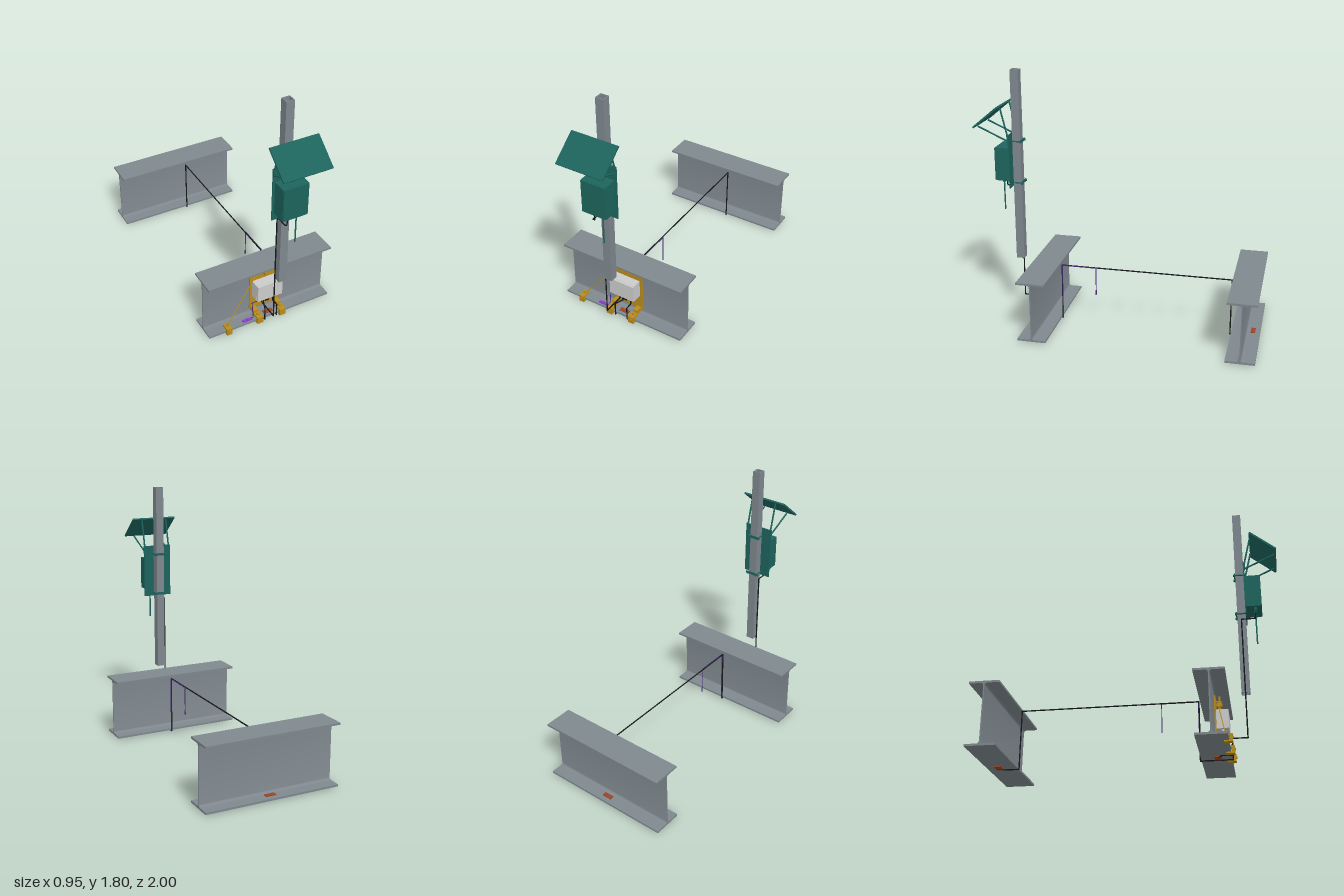
import * as THREE from 'three';
import { toCreasedNormals, mergeGeometries } from 'three/addons/utils/BufferGeometryUtils.js';

const mat = (color) => new THREE.MeshStandardMaterial({ color, side: THREE.DoubleSide });

export function createModel() {
  const root = new THREE.Group();
  const steel = mat(0x7f888e), green = mat(0x1d645d), yellow = mat(0xb88c1c), grey = mat(0xcccccc);
  const black = mat(0x15181a), purple = mat(0x4a2a80), violet = mat(0x8a3fd0), rust = mat(0x9a4526);

  const add = (name, geo, m, parent = root) => {
    const mesh = new THREE.Mesh(geo, m);
    mesh.name = name;
    parent.add(mesh);
    return mesh;
  };
  const group = (name) => {
    const g = new THREE.Group();
    g.name = name;
    root.add(g);
    return g;
  };
  // box from its limits
  const box = (name, x0, x1, y0, y1, z0, z1, m, parent) => {
    const mesh = add(name, new THREE.BoxGeometry(x1 - x0, y1 - y0, z1 - z0), m, parent);
    mesh.position.set((x0 + x1) / 2, (y0 + y1) / 2, (z0 + z1) / 2);
    return mesh;
  };
  // straight runs of round rod joined by ball elbows
  const rod = (name, pts, r, m, parent) => {
    const v = pts.map((p) => new THREE.Vector3(...p));
    const parts = [];
    v.forEach((b, i) => {
      if (i === 0) return;
      const a = v[i - 1], d = b.clone().sub(a);
      const q = new THREE.Quaternion().setFromUnitVectors(new THREE.Vector3(0, 1, 0), d.clone().normalize());
      const mid = a.clone().add(b).multiplyScalar(0.5);
      parts.push(new THREE.CylinderGeometry(r, r, d.length(), 10).applyQuaternion(q).translate(mid.x, mid.y, mid.z));
      if (i < v.length - 1) parts.push(new THREE.SphereGeometry(r, 10, 6).translate(b.x, b.y, b.z));
    });
    return add(name, mergeGeometries(parts), m, parent);
  };

  // rolled I-beams with filleted web
  const beam = (name, z) => {
    const H = 0.1, T = 0.443, B = 0.013, t = 0.014, w = 0.004, f = 0.02;
    const s = new THREE.Shape();
    s.moveTo(-H, B).lineTo(H, B).lineTo(H, B + t).lineTo(w + f, B + t);
    s.quadraticCurveTo(w, B + t, w, B + t + f).lineTo(w, T - t - f);
    s.quadraticCurveTo(w, T - t, w + f, T - t).lineTo(H, T - t).lineTo(H, T);
    s.lineTo(-H, T).lineTo(-H, T - t).lineTo(-w - f, T - t);
    s.quadraticCurveTo(-w, T - t, -w, T - t - f).lineTo(-w, B + t + f);
    s.quadraticCurveTo(-w, B + t, -w - f, B + t).lineTo(-H, B + t).closePath();
    const g = new THREE.ExtrudeGeometry(s, { depth: 0.947, bevelEnabled: false, curveSegments: 6 });
    g.translate(0, 0, -0.4735).rotateY(Math.PI / 2);
    add(name, toCreasedNormals(g, 0.6), steel).position.z = z;
  };
  beam('frontBeam', 0.526);
  beam('rearBeam', -0.9);

  // hollow square post
  const sq = (Type, h) => new Type([[-h, -h], [h, -h], [h, h], [-h, h]].map((p) => new THREE.Vector2(...p)));
  const post = sq(THREE.Shape, 0.029);
  post.holes.push(sq(THREE.Path, 0.023));
  const postGeo = new THREE.ExtrudeGeometry(post, { depth: 1.365, bevelEnabled: false }).rotateX(-Math.PI / 2);
  add('post', postGeo, steel).position.set(0, 0.44, 0.737);

  // cabinet, mounting plate and post clamps
  const cab = group('cabinet');
  box('mountingPlate', -0.106, 0.106, 0.985, 1.367, 0.766, 0.772, green, cab);
  box('cabinetBody', -0.09, 0.09, 1.036, 1.27, 0.772, 0.872, green, cab);
  box('cabinetDoor', -0.088, 0.088, 1.038, 1.268, 0.872, 0.878, green, cab);
  for (const y of [1.01, 1.308]) {
    box('clampBar', -0.05, 0.05, y - 0.009, y + 0.009, 0.7, 0.707, green, cab);
    for (const x of [-0.037, 0.037]) {
      rod('clampBolt', [[x, y, 0.694], [x, y, 0.776]], 0.005, green, cab);
      rod('clampNut', [[x, y, 0.694], [x, y, 0.701]], 0.009, green, cab);
    }
  }
  for (const x of [-0.065, -0.03, 0.035]) rod('cabinetGland', [[x, 1.012, 0.833], [x, 1.037, 0.833]], 0.01, green, cab);
  rod('antenna', [[0.035, 0.81, 0.833], [0.035, 1.02, 0.833]], 0.005, green, cab);

  // tilted solar panel on struts
  const panel = group('solarPanel');
  const tilt = Math.atan2(0.145, 0.175);
  const slab = add('panelSlab', new THREE.BoxGeometry(0.34, 0.012, 0.225), green, panel);
  slab.position.set(-0.001, 1.495, 0.909);
  slab.rotation.x = tilt;
  for (const x of [-0.097, 0.097]) {
    rod('rearStrut', [[x, 1.555, 0.822], [x, 1.355, 0.774]], 0.006, green, panel);
    rod('lowerStrut', [[x, 1.418, 0.985], [x, 1.322, 0.774]], 0.006, green, panel);
    box('strutFoot', x - 0.008, x + 0.008, 1.312, 1.366, 0.77, 0.78, green, panel);
  }

  // yellow carrier plate with chamfered top corners
  const carrier = group('carrier');
  const ps = new THREE.Shape();
  ps.moveTo(-0.118, 0.06).lineTo(0.116, 0.06).lineTo(0.116, 0.385).lineTo(0.101, 0.4);
  ps.lineTo(-0.103, 0.4).lineTo(-0.118, 0.385).closePath();
  add('carrierPlate', new THREE.ExtrudeGeometry(ps, { depth: 0.009, bevelEnabled: false }), yellow, carrier)
    .position.z = 0.531;
  // top jack pressing against the upper flange
  box('jackBlock', -0.022, 0.022, 0.352, 0.38, 0.54, 0.578, yellow, carrier);
  rod('jackScrew', [[0, 0.335, 0.56], [0, 0.428, 0.56]], 0.007, yellow, carrier);
  rod('jackNut', [[0, 0.38, 0.56], [0, 0.395, 0.56]], 0.014, yellow, carrier);
  // C-clamps gripping the lower flange
  const clamp = (x, w) => {
    const g = group('flangeClamp');
    box('clampJaw', x - w, x + w, 0.042, 0.056, 0.585, 0.65, yellow, g);
    box('clampBack', x - w, x + w, 0.004, 0.056, 0.63, 0.65, yellow, g);
    box('clampLip', x - w, x + w, 0.004, 0.013, 0.595, 0.65, yellow, g);
    rod('clampScrew', [[x, 0.027, 0.608], [x, 0.074, 0.608]], 0.006, yellow, g);
    rod('clampHead', [[x, 0.056, 0.608], [x, 0.066, 0.608]], 0.012, yellow, g);
    rod('frontBolt', [[x, 0.035, 0.645], [x, 0.035, 0.657]], 0.01, yellow, g);
  };
  for (const x of [-0.09, 0.088]) {
    clamp(x, 0.023);
    box('carrierFoot', x - 0.018, x + 0.018, 0.045, 0.075, 0.535, 0.59, yellow, carrier);
  }
  clamp(-0.33, 0.02);
  rod('tetherRod', [[-0.33, 0.05, 0.608], [-0.072, 0.365, 0.552]], 0.003, yellow, carrier);
  rod('tetherEye', [[-0.072, 0.365, 0.538], [-0.072, 0.365, 0.558]], 0.008, yellow, carrier);

  // grey sensor housing with cable glands
  const unit = group('sensorHousing');
  box('housingBody', -0.099, 0.097, 0.175, 0.305, 0.54, 0.605, grey, unit);
  box('housingLid', -0.097, 0.095, 0.177, 0.303, 0.605, 0.62, grey, unit);
  const glands = [-0.075, -0.042, -0.012, 0.01, 0.045, 0.075];
  for (const x of glands) rod('housingGland', [[x, 0.155, 0.58], [x, 0.176, 0.58]], 0.009, grey, unit);

  // cables
  const c = 0.0045;
  rod('powerCable', [[-0.03, 1.015, 0.833], [-0.03, 0.965, 0.833], [-0.042, 0.965, 0.833], [-0.042, 0.965, 0.735],
    [-0.042, 0.123, 0.735], [-0.042, 0.123, 0.58], [-0.042, 0.16, 0.58]], c, black);
  rod('loopCable', [[-0.012, 0.16, 0.58], [-0.012, 0.125, 0.58], [0.01, 0.125, 0.58], [0.01, 0.16, 0.58]], c, black);
  rod('frontSensorCable', [[-0.025, 0.16, 0.575], [-0.025, 0.105, 0.575], [-0.048, 0.105, 0.635],
    [-0.048, 0.01, 0.635], [-0.048, 0.01, 0.56], [-0.02, 0.01, 0.54]], c, black);
  rod('rearSensorCable', [[0.045, 0.16, 0.58], [0.045, 0.105, 0.58], [0.047, 0.105, 0.632], [0.047, 0.009, 0.632],
    [0.047, 0.009, 0.421], [0.047, 0.419, 0.421], [0.047, 0.419, -0.792], [0.047, 0.009, -0.792],
    [0.047, 0.009, -0.89], [0.02, 0.009, -0.91]], c, black);
  rod('probeCable', [[0.053, 0.009, 0.6], [0.053, 0.009, 0.417], [0.053, 0.419, 0.417], [0.053, 0.419, 0.17],
    [0.053, 0.22, 0.17]], 0.003, purple);
  rod('probeTip', [[0.053, 0.215, 0.17], [0.053, 0.25, 0.17]], 0.004, purple);
  rod('flangeProbeCable', [[-0.075, 0.16, 0.58], [-0.075, 0.146, 0.58], [-0.12, 0.146, 0.58],
    [-0.12, 0.032, 0.6], [-0.17, 0.032, 0.605]], 0.003, purple);
  box('flangeProbe', -0.205, -0.135, 0.027, 0.036, 0.595, 0.615, violet);
  rod('flangeProbeCap', [[-0.17, 0.018, 0.605], [-0.17, 0.042, 0.605]], 0.01, violet);

  // rust-coloured strain pads on both lower flanges
  for (const [z0, z1] of [[0.575, 0.605], [-0.965, -0.935]]) box('upperPad', -0.035, 0.035, 0.027, 0.033, z0, z1, rust);
  for (const [z0, z1] of [[0.515, 0.56], [-0.94, -0.895]]) box('lowerPad', -0.04, 0.04, 0.006, 0.013, z0, z1, rust);

  return root;
}
